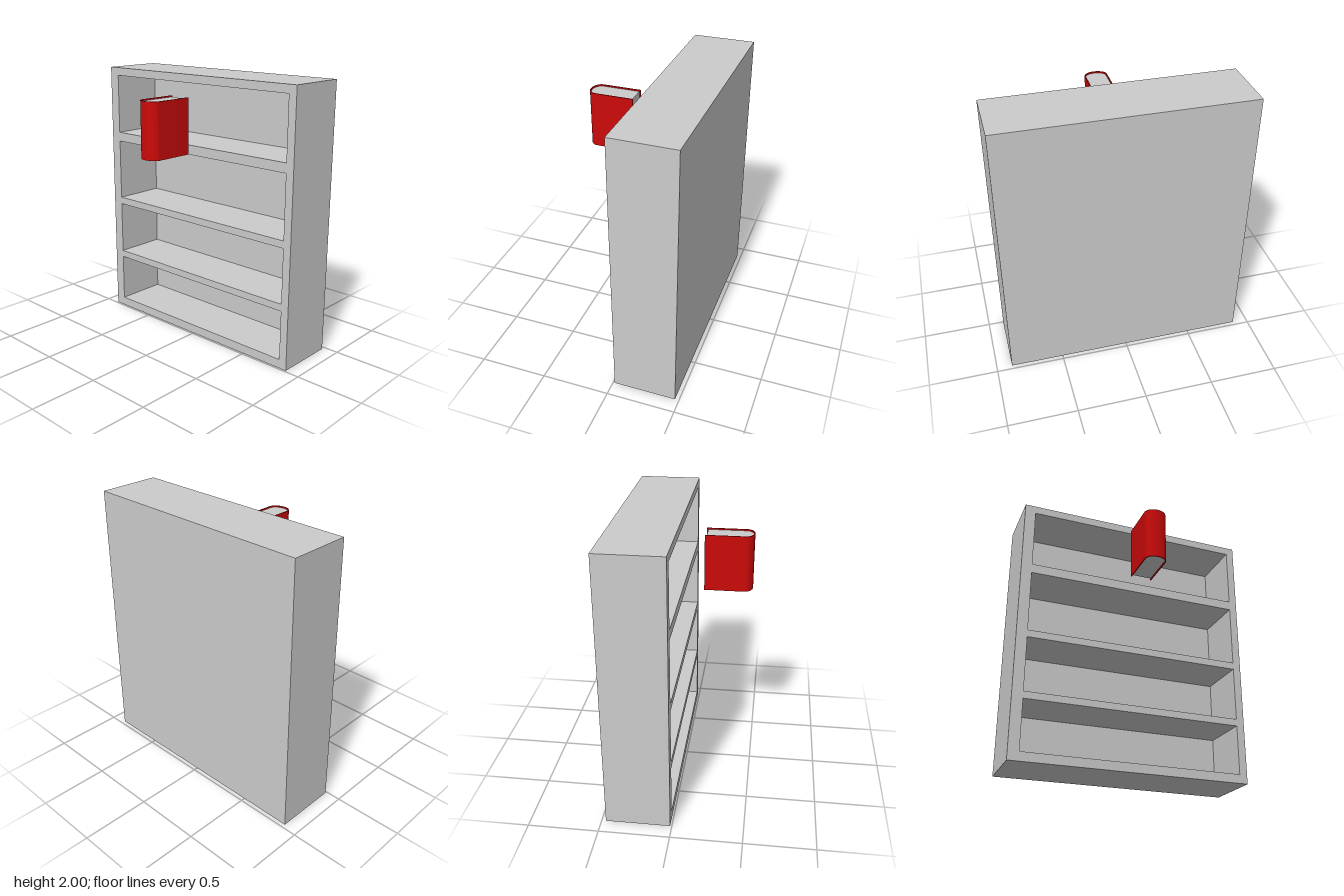
import * as THREE from 'three';
import { toCreasedNormals } from 'three/addons/utils/BufferGeometryUtils.js';

const grey = new THREE.MeshStandardMaterial({ color: 0xcccccc });
const red = new THREE.MeshStandardMaterial({ color: 0xcc0a0a });

function part(name, geometry, material) {
  const mesh = new THREE.Mesh(geometry, material);
  mesh.name = name;
  return mesh;
}

// Frame with four openings, closed by a back panel
function makeBookcase() {
  const group = new THREE.Group();
  group.name = 'bookcase';
  const W = 0.888, H = 2, back = -0.47, inner = -0.41, front = -0.012;
  const rect = (path, x0, y0, x1, y1) =>
    path.moveTo(x0, y0).lineTo(x1, y0).lineTo(x1, y1).lineTo(x0, y1).closePath();

  const outline = rect(new THREE.Shape(), -W, 0, W, H);
  const bays = [[0.067, 0.437], [0.49, 0.898], [0.952, 1.419], [1.49, 1.94]];
  for (const [y0, y1] of bays) {
    outline.holes.push(rect(new THREE.Path(), -0.807, y0, 0.828, y1));
  }
  const frame = new THREE.ExtrudeGeometry(outline, { depth: front - inner, bevelEnabled: false });
  frame.translate(0, 0, inner);
  group.add(part('shelfFrame', frame, grey));

  const panel = new THREE.BoxGeometry(2 * W, H, inner - back);
  panel.translate(0, H / 2, (inner + back) / 2);
  group.add(part('backPanel', panel, grey));
  return group;
}

// Book plan: straight boards joined by an elliptical spine
function makeBook() {
  const group = new THREE.Group();
  group.name = 'book';
  const t = 0.008, bend = 0.41;

  const planPoints = (halfWidth, open, spine) => {
    const points = [new THREE.Vector2(halfWidth, open)];
    for (let i = 0; i <= 32; i++) {
      const a = (i / 32) * Math.PI;
      points.push(new THREE.Vector2(halfWidth * Math.cos(a), bend + (spine - bend) * Math.sin(a)));
    }
    points.push(new THREE.Vector2(-halfWidth, open));
    return points;
  };
  // The plan is drawn in x and z, then stood upright
  const upright = (points, y0, y1) => {
    const geometry = new THREE.ExtrudeGeometry(new THREE.Shape(points), { depth: y1 - y0, bevelEnabled: false });
    geometry.rotateX(Math.PI / 2).translate(0, y1, 0);
    return toCreasedNormals(geometry, 0.6);
  };

  const outer = planPoints(0.082, 0.13, 0.47);
  const lining = planPoints(0.082 - t, 0.13, 0.47 - t).reverse();
  group.add(part('cover', upright([...outer, ...lining], 1.46, 1.862), red));
  group.add(part('pages', upright(planPoints(0.082 - t, 0.14, 0.47 - t), 1.47, 1.852), grey));
  return group;
}

export function createModel() {
  const model = new THREE.Group();
  model.name = 'bookcaseWithBook';
  model.add(makeBookcase(), makeBook());
  return model;
}
